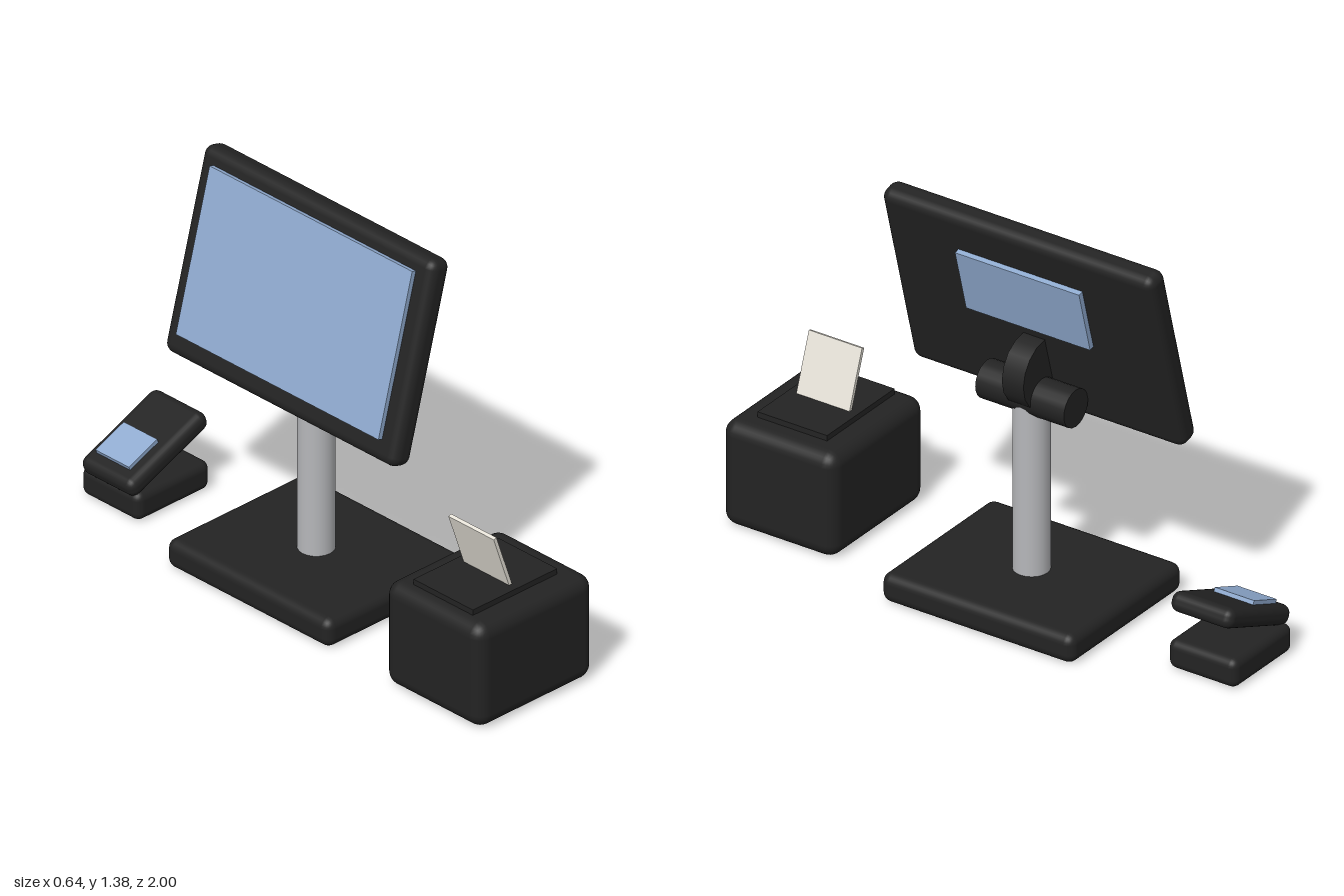
import * as THREE from 'three';
import { RoundedBoxGeometry } from 'three/addons/geometries/RoundedBoxGeometry.js';

const material = (name, color) => {
  const m = new THREE.MeshStandardMaterial({ color });
  m.name = name;
  return m;
};

export function createModel() {
  const black = material('black plastic', 0x232323);
  const blue = material('blue screen', 0x90abd0);
  const metal = material('grey metal', 0xb6b7ba);
  const paperWhite = material('receipt paper', 0xe6e2d8);

  const model = new THREE.Group();
  model.name = 'checkoutTerminal';

  const group = (name, x, y, z, tilt = 0) => {
    const g = new THREE.Group();
    g.name = name;
    g.position.set(x, y, z);
    g.rotation.z = THREE.MathUtils.degToRad(tilt);
    model.add(g);
    return g;
  };
  const add = (parent, name, geometry, mat, x = 0, y = 0, z = 0) => {
    const mesh = new THREE.Mesh(geometry, mat);
    mesh.name = name;
    mesh.position.set(x, y, z);
    parent.add(mesh);
    return mesh;
  };
  const box = (w, h, d) => new THREE.BoxGeometry(w, h, d);
  const rounded = (w, h, d, r) => new RoundedBoxGeometry(w, h, d, 3, r);
  const axle = (r, length, sides) =>
    new THREE.CylinderGeometry(r, r, length, sides).rotateX(Math.PI / 2);

  // Stand: foot, pole and hinge
  const stand = group('stand', 0.005, 0, -0.097);
  add(stand, 'foot', rounded(0.63, 0.105, 0.76, 0.035), black, 0, 0.0525, 0);
  add(stand, 'pole', new THREE.CylinderGeometry(0.0625, 0.0625, 0.65, 20), metal, 0, 0.41, 0);
  add(stand, 'hingeBarrel', axle(0.068, 0.35, 20), black, 0, 0.751, 0);
  add(stand, 'hingeDisc', axle(0.125, 0.085, 16), black, -0.018, 0.832, 0);

  // Monitor, leaning back, with a main screen and a customer display behind
  const monitor = group('monitor', -0.036, 1.029, -0.097, -15);
  add(monitor, 'monitorBody', rounded(0.09, 0.727, 1.075, 0.035), black);
  add(monitor, 'mainScreen', box(0.025, 0.589, 0.94), blue, -0.05, 0.013, -0.003);
  add(monitor, 'customerDisplay', box(0.025, 0.241, 0.49), blue, 0.052, 0.103, 0.002);

  // Receipt printer with lid and a slip of paper
  const printer = group('printer', -0.063, 0, 0.775);
  add(printer, 'printerBody', rounded(0.522, 0.385, 0.45, 0.05), black, 0, 0.1925, 0);
  add(printer, 'printerLid', box(0.38, 0.04, 0.275), black, -0.017, 0.385, 0);
  const slip = group('receipt', -0.1, 0.494, 0.775, 19.2);
  add(slip, 'paperSlip', box(0.013, 0.236, 0.21), paperWhite);

  // Card reader: base block and tilted keypad with display
  const readerBase = group('cardReaderBase', -0.02, 0.0525, -0.864);
  add(readerBase, 'readerFoot', rounded(0.33, 0.105, 0.272, 0.03), black);
  const reader = group('cardReader', -0.0275, 0.186, -0.86, 22.5);
  add(reader, 'readerBody', rounded(0.375, 0.07, 0.245, 0.03), black);
  add(reader, 'readerDisplay', box(0.138, 0.025, 0.155), blue, -0.062, 0.037, -0.007);

  return model;
}
